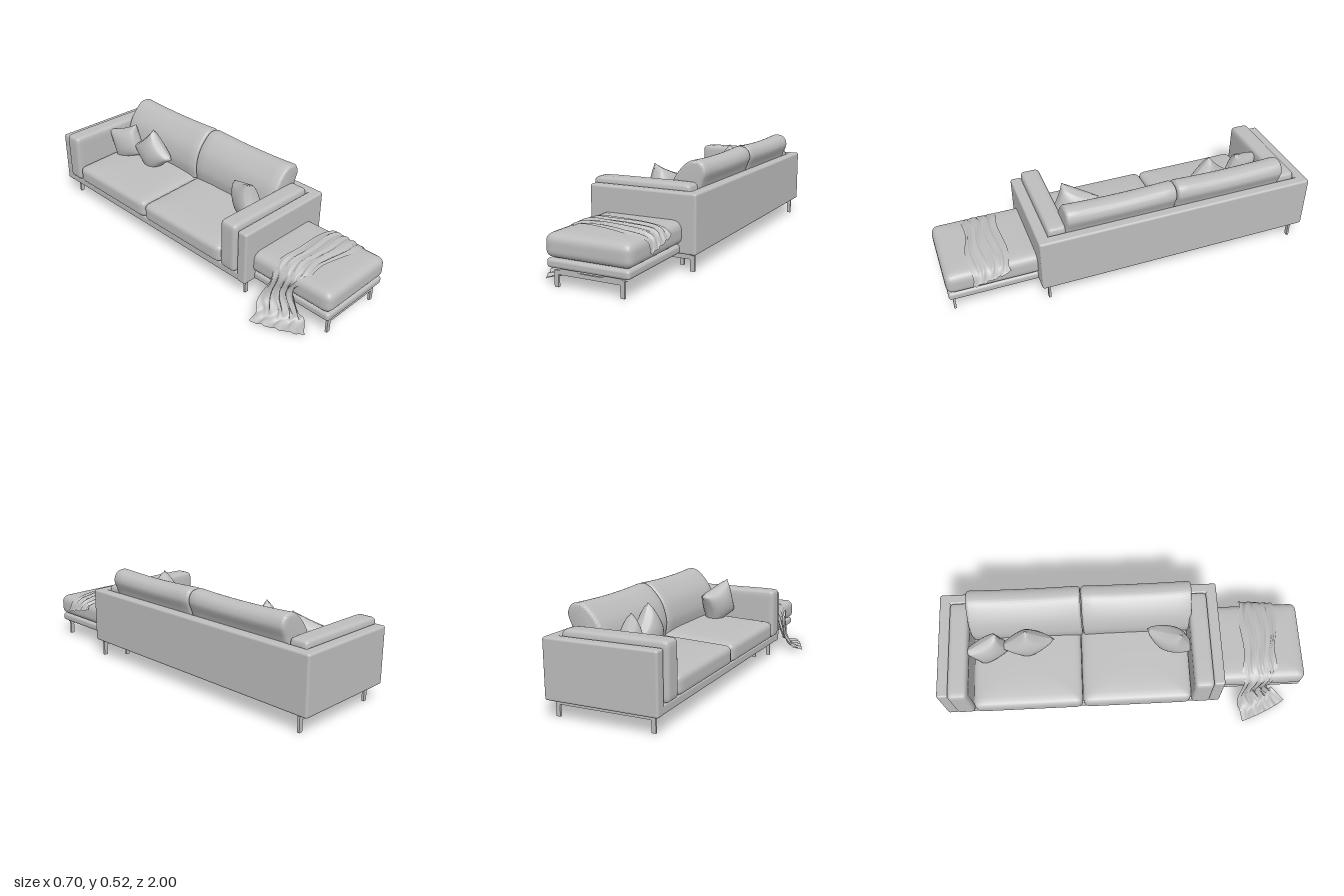
import * as THREE from 'three';
import { mergeVertices, toCreasedNormals } from 'three/addons/utils/BufferGeometryUtils.js';
import { RoundedBoxGeometry } from 'three/addons/geometries/RoundedBoxGeometry.js';

const fabric = new THREE.MeshStandardMaterial({ color: 0xbdbdbd, side: THREE.DoubleSide });
fabric.name = 'grey fabric';

function add(group, name, geometry) {
  const mesh = new THREE.Mesh(geometry, fabric);
  mesh.name = name;
  group.add(mesh);
  return mesh;
}

// Rebuild shared vertices so that the deformed surface shades smoothly
function smooth(geometry) {
  geometry.deleteAttribute('uv');
  geometry.deleteAttribute('normal');
  const merged = mergeVertices(geometry, 1e-5);
  merged.computeVertexNormals();
  return merged;
}

// Rounded panel between two corners
function panel(group, name, [x0, x1], [y0, y1], [z0, z1], r = 0.012) {
  const mesh = add(group, name, new RoundedBoxGeometry(x1 - x0, y1 - y0, z1 - z0, 4, r));
  mesh.position.set((x0 + x1) / 2, (y0 + y1) / 2, (z0 + z1) / 2);
  return mesh;
}

// Soft cushion between two corners; the top sinks by `crown` towards its rim
function cushion(group, name, [x0, x1], [y0, y1], [z0, z1], r, crown = 0, slope = 0) {
  const g = new THREE.BoxGeometry(2, 2, 2, 20, 14, 20);
  const half = new THREE.Vector3(x1 - x0, y1 - y0, z1 - z0).multiplyScalar(0.5);
  const core = half.clone().subScalar(r);
  const p = new THREE.Vector3(), c = new THREE.Vector3(), pos = g.attributes.position;
  for (let i = 0; i < pos.count; i++) {
    p.fromBufferAttribute(pos, i);
    p.set(...p.toArray().map(t => Math.sin(t * Math.PI / 2))).multiply(half);
    c.copy(p).clamp(core.clone().negate(), core);
    p.sub(c);
    if (p.lengthSq() > 0) p.setLength(r);
    p.add(c);
    const u = p.x / half.x, v = p.z / half.z, top = (p.y / half.y + 1) / 2;
    p.y -= top * (crown * Math.max(u ** 4, v ** 4) + slope * (1 - u) / 2);
    pos.setXYZ(i, p.x, p.y, p.z);
  }
  const mesh = add(group, name, smooth(g));
  mesh.position.set((x0 + x1) / 2, (y0 + y1) / 2, (z0 + z1) / 2);
}

// Thin metal-style leg frame: two legs and a beam with a wavy top edge
function legFrame(group, name, x0, x1, z) {
  const w = 0.022, h = 0.08, L = x1 - x0, s = new THREE.Shape();
  s.moveTo(x0, 0);
  s.lineTo(x0 + w, 0);
  s.lineTo(x0 + w, h - 0.02);
  s.lineTo(x1 - w, h - 0.02);
  s.lineTo(x1 - w, 0);
  s.lineTo(x1, 0);
  s.lineTo(x1, h);
  for (const t of [0.84, 0.22]) {
    const m = x0 + L * t;
    s.lineTo(m + 0.07, h);
    s.bezierCurveTo(m + 0.04, h, m + 0.05, 0.093, m + 0.02, 0.093);
    s.lineTo(m - 0.02, 0.093);
    s.bezierCurveTo(m - 0.05, 0.093, m - 0.04, h, m - 0.07, h);
  }
  s.lineTo(x0, h);
  const g = new THREE.ExtrudeGeometry(s, { depth: 0.012, bevelEnabled: false, curveSegments: 8 });
  add(group, name, g).position.z = z - 0.006;
}

// Leaning back cushion: side profile extruded along the seat
function backCushion(group, z0, z1) {
  const pts = [[0.13, 0.25], [0.122, 0.33], [0.147, 0.42], [0.2, 0.49], [0.25, 0.522], [0.305, 0.512],
    [0.326, 0.465], [0.305, 0.405], [0.285, 0.34], [0.28, 0.25]].map(p => new THREE.Vector2(...p));
  const s = new THREE.Shape().moveTo(pts[0].x, pts[0].y);
  s.splineThru(pts.slice(1));
  const b = 0.018;
  const g = new THREE.ExtrudeGeometry(s, { depth: z1 - z0 - 2 * b, steps: 12, curveSegments: 40,
    bevelSize: b, bevelThickness: b, bevelOffset: -b, bevelSegments: 5 });
  g.translate(0, 0, z0 + b);
  // Top edge sags slightly between the corners
  const pos = g.attributes.position;
  for (let i = 0; i < pos.count; i++) {
    const t = (2 * pos.getZ(i) - z0 - z1) / (z1 - z0);
    const k = Math.max(0, pos.getY(i) - 0.4) / 0.12;
    pos.setY(i, pos.getY(i) - 0.01 * k * (1 - t * t));
  }
  add(group, 'backCushion', toCreasedNormals(g, 0.7));
}

// Scatter pillow: a pinched square that swells towards the middle
function pillow(group, size, thick, position, rotation) {
  const g = new THREE.BoxGeometry(2, 2, 2, 20, 20, 1), pos = g.attributes.position;
  for (let i = 0; i < pos.count; i++) {
    const u = pos.getX(i), v = pos.getY(i);
    const swell = Math.pow((1 - u * u) * (1 - v * v), 0.4);
    pos.setXYZ(i, u * (1 - 0.1 * (1 - v * v)) * size / 2, v * (1 - 0.1 * (1 - u * u)) * size / 2,
      pos.getZ(i) * (0.002 + swell * thick / 2));
  }
  const mesh = add(group, 'scatterPillow', smooth(g));
  mesh.position.set(...position);
  mesh.rotation.set(...rotation);
}

// Throw blanket: surface swept across three rails, with folds along its length
function blanket(group) {
  const rails = [
    [[0.3, 0.225, 0.67], [0.27, 0.25, 0.67], [0.15, 0.268, 0.665], [0, 0.272, 0.66], [-0.11, 0.264, 0.66],
      [-0.175, 0.23, 0.655], [-0.205, 0.15, 0.65], [-0.25, 0.07, 0.64], [-0.285, 0.022, 0.645], [-0.35, 0.006, 0.67]],
    [[0.305, 0.2, 0.77], [0.27, 0.25, 0.77], [0.15, 0.274, 0.77], [0, 0.279, 0.765], [-0.11, 0.27, 0.76],
      [-0.18, 0.23, 0.75], [-0.2, 0.15, 0.735], [-0.21, 0.07, 0.75], [-0.235, 0.02, 0.78], [-0.3, 0.006, 0.8]],
    [[0.3, 0.18, 0.87], [0.275, 0.235, 0.87], [0.15, 0.264, 0.865], [0, 0.268, 0.85], [-0.11, 0.262, 0.84],
      [-0.175, 0.225, 0.82], [-0.185, 0.15, 0.8], [-0.175, 0.06, 0.82], [-0.165, 0.02, 0.86], [-0.235, 0.005, 0.91]],
  ].map(r => new THREE.CatmullRomCurve3(r.map(p => new THREE.Vector3(...p))));
  const nu = 70, nv = 36, g = new THREE.PlaneGeometry(1, 1, nu, nv), pos = g.attributes.position;
  for (let j = 0; j <= nv; j++) for (let i = 0; i <= nu; i++) {
    const u = i / nu, v = j / nv;
    const p = new THREE.QuadraticBezierCurve3(rails[0].getPoint(u),
      rails[1].getPoint(u).multiplyScalar(2).addScaledVector(rails[0].getPoint(u).add(rails[2].getPoint(u)), -0.5),
      rails[2].getPoint(u)).getPoint(v);
    const fold = Math.sin(v * 26 + 3 * Math.sin(u * 7)) + 0.6 * Math.sin(v * 47 - u * 9);
    const hang = THREE.MathUtils.smoothstep(u, 0.5, 0.65) * (1 - THREE.MathUtils.smoothstep(u, 0.82, 0.95));
    p.y += 0.004 * fold * (1 - hang);
    p.x += 0.009 * fold * hang;
    p.z += 0.008 * Math.sin(u * 23 + v * 3);
    p.y = Math.max(p.y, 0.002);
    pos.setXYZ(j * (nu + 1) + i, p.x, p.y, p.z);
  }
  add(group, 'throwBlanket', smooth(g));
}

export function createModel() {
  const model = new THREE.Group();
  const sofa = new THREE.Group();
  sofa.name = 'sofa';
  const ottoman = new THREE.Group();
  ottoman.name = 'ottoman';
  model.add(sofa, ottoman);

  // Sofa body
  panel(sofa, 'seatBase', [-0.24, 0.34], [0.09, 0.138], [-0.96, 0.49]);
  panel(sofa, 'backPanel', [0.292, 0.35], [0.09, 0.39], [-1, 0.53]);
  for (const [z0, z1] of [[-1, -0.94], [0.47, 0.53]])
    panel(sofa, 'armPanel', [-0.242, 0.35], [0.09, 0.39], [z0, z1]);
  for (const [z0, z1] of [[-0.94, -0.835], [0.365, 0.47]])
    cushion(sofa, 'armCushion', [-0.26, 0.288], [0.138, 0.42], [z0, z1], 0.024, 0.004);

  // Seat and back cushions
  for (const [z0, z1] of [[-0.833, -0.236], [-0.234, 0.363]])
    cushion(sofa, 'seatCushion', [-0.262, 0.285], [0.138, 0.275], [z0, z1], 0.035, 0.015, 0.025);
  backCushion(sofa, -0.835, -0.222);
  backCushion(sofa, -0.218, 0.378);

  // Scatter pillows
  pillow(sofa, 0.2, 0.11, [0.04, 0.335, -0.735], [-0.25, -1.2, 0.1]);
  pillow(sofa, 0.21, 0.12, [0.065, 0.335, -0.525], [-0.35, -1.45, 0.4]);
  pillow(sofa, 0.21, 0.13, [0.045, 0.345, 0.26], [-0.3, -1.95, 0.1]);

  // Ottoman
  panel(ottoman, 'ottomanBase', [-0.17, 0.265], [0.091, 0.136], [0.4, 0.995], 0.016);
  cushion(ottoman, 'ottomanCushion', [-0.18, 0.275], [0.136, 0.26], [0.48, 1], 0.04, 0.012);
  blanket(ottoman);

  // Leg frames
  for (const z of [-0.94, 0.49]) legFrame(sofa, 'sofaLegFrame', -0.2, 0.327, z);
  for (const z of [0.41, 0.97]) legFrame(ottoman, 'ottomanLegFrame', -0.14, 0.23, z);
  return model;
}
